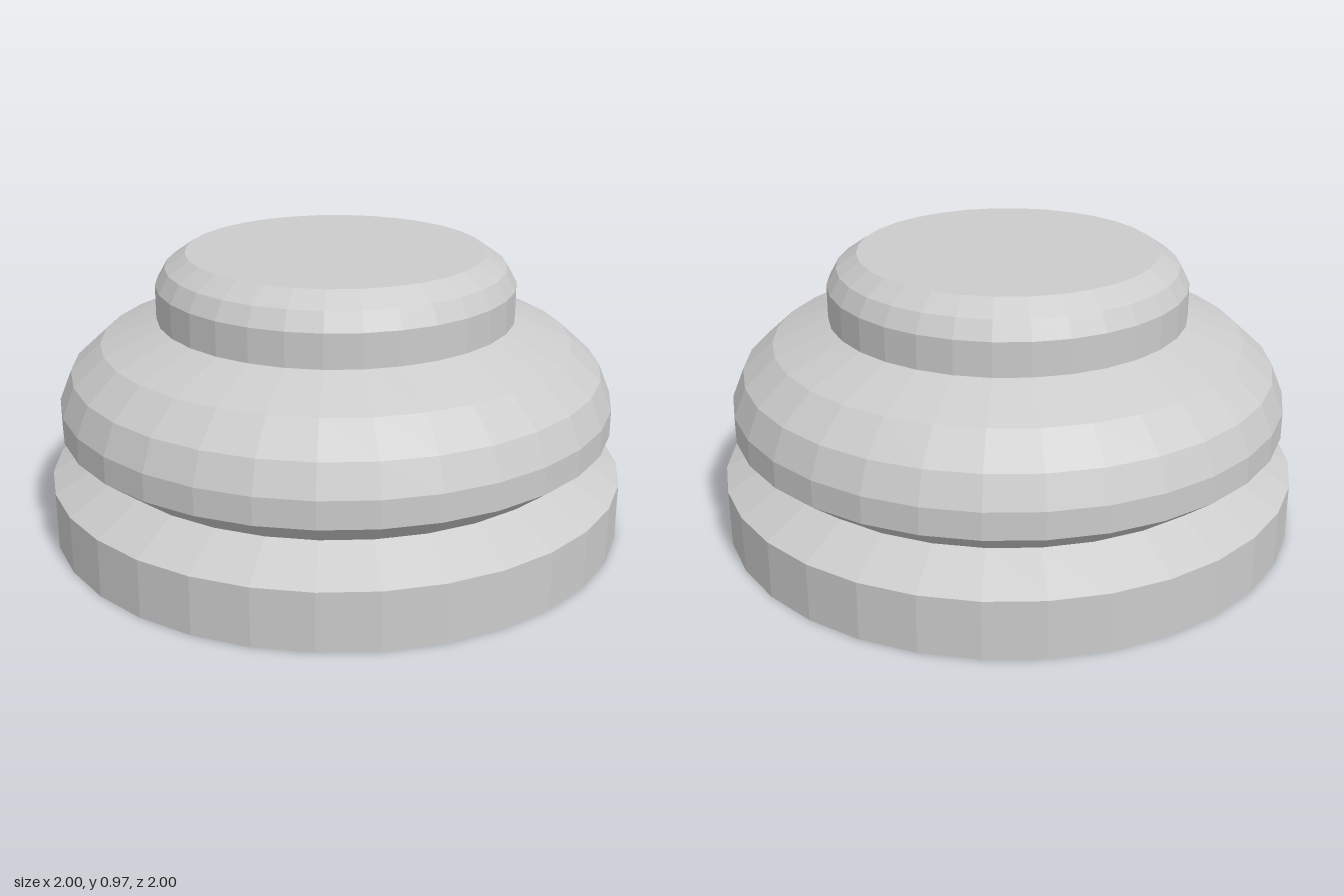
import * as THREE from 'three';

const SIDES = 32;

// Profiles run from bottom to top as [radius, height]; neighbours share their end ring.
const PARTS = {
  base: [[0, 0], [1, 0], [1, 0.2], [0.845, 0.29]],
  body: [[0.845, 0.29], [0.957, 0.378], [0.957, 0.47], [0.915, 0.572], [0.81, 0.667], [0.617, 0.747]],
  topCap: [[0.617, 0.747], [0.617, 0.862], [0.583, 0.922], [0.513, 0.97], [0, 0.97]],
};

export function createModel() {
  const group = new THREE.Group();
  group.name = 'steppedKnob';
  const material = new THREE.MeshStandardMaterial({ color: 0xcccccc, flatShading: true });

  // Faceted turned sections: foot ring, bulging body and bevelled cap
  for (const [name, profile] of Object.entries(PARTS)) {
    const points = profile.map(([r, y]) => new THREE.Vector2(r, y));
    const mesh = new THREE.Mesh(new THREE.LatheGeometry(points, SIDES), material);
    mesh.name = name;
    group.add(mesh);
  }
  return group;
}
